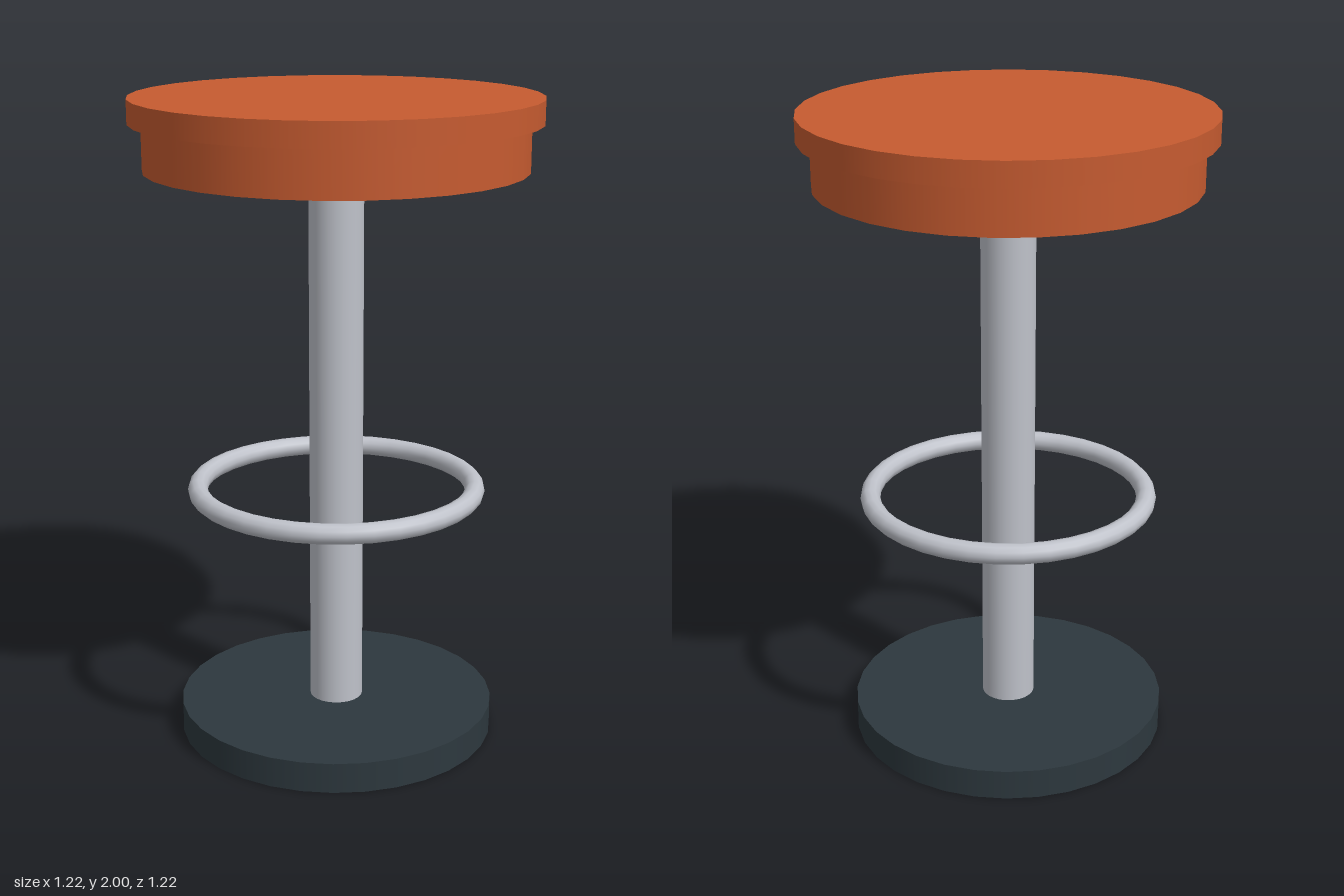
import * as THREE from 'three';

const material = (name, color) => {
  const m = new THREE.MeshStandardMaterial({ color });
  m.name = name;
  return m;
};

export function createModel() {
  const stool = new THREE.Group();
  stool.name = 'barStool';

  const orange = material('burnt orange', 0xc65b30);
  const metal = material('brushed metal', 0xbfc2ca);
  const dark = material('dark slate', 0x2d383e);

  // Upright disc or post between two heights
  const disc = (name, radius, bottom, top, sides, mat) => {
    const geometry = new THREE.CylinderGeometry(radius, radius, top - bottom, sides);
    const mesh = new THREE.Mesh(geometry, mat);
    mesh.name = name;
    mesh.position.y = (bottom + top) / 2;
    stool.add(mesh);
  };

  disc('base', 0.495, 0, 0.095, 32, dark);
  disc('post', 0.083, 0.095, 1.786, 24, metal);
  disc('seatCushion', 0.573, 1.786, 1.927, 30, orange);
  disc('seatTop', 0.612, 1.927, 2, 32, orange);

  // Foot ring around the post
  const ring = new THREE.Mesh(new THREE.TorusGeometry(0.43, 0.031, 12, 36), metal);
  ring.name = 'footRing';
  ring.rotation.x = Math.PI / 2;
  ring.position.y = 0.797;
  stool.add(ring);

  return stool;
}
